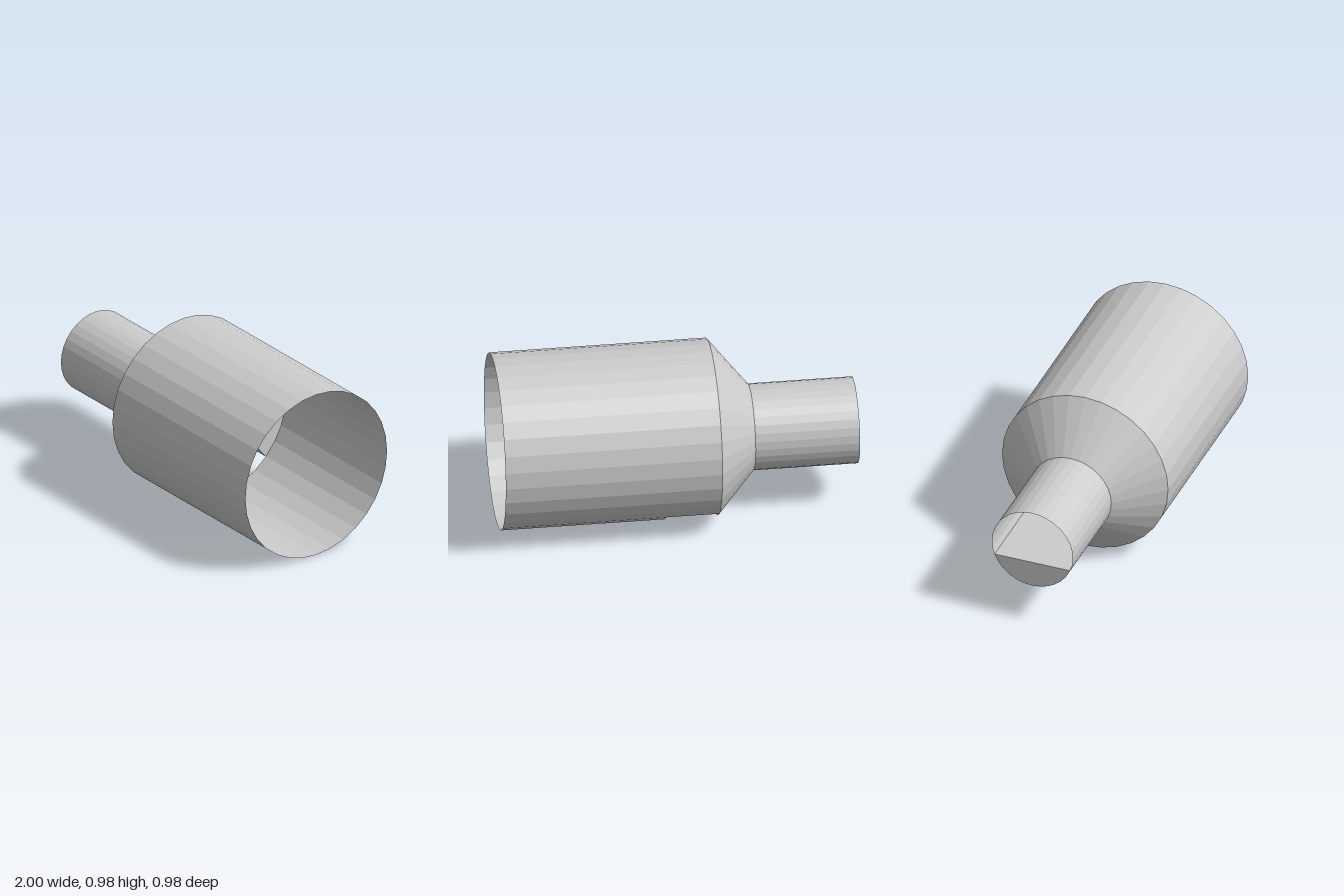
import * as THREE from 'three';

const SIDES = 32;
const LEVEL = 0.387; // height of the flat floor inside the pipe
const X = { tip: -1, neck: -0.42, shoulder: -0.205, wall: 0.09, mouth: 1 };
const SMALL = { c: 0.473, r: 0.24 };
const BIG = { c: 0.492, r: 0.492 };

const material = new THREE.MeshStandardMaterial({
  color: 0xcccccc, flatShading: true, side: THREE.DoubleSide,
});

// Point k of a ring as (z, y), counted from the bottom towards +z
function ringPoint({ c, r }, k) {
  const a = (k / SIDES) * Math.PI * 2;
  return [r * Math.sin(a), c - r * Math.cos(a)];
}

function arc(ring, from, to) {
  const pts = [];
  const step = Math.sign(to - from);
  for (let k = from; k !== to + step; k += step) pts.push(ringPoint(ring, k));
  return pts;
}

// The part of a ring below the floor level, from -z to +z
function segment(ring) {
  let k = 0;
  while (ringPoint(ring, k + 1)[1] < LEVEL) k++;
  const [z0, y0] = ringPoint(ring, k);
  const [z1, y1] = ringPoint(ring, k + 1);
  const z = z0 + ((z1 - z0) * (LEVEL - y0)) / (y1 - y0);
  return { k, z, pts: [[-z, LEVEL], ...arc(ring, -k, k), [z, LEVEL]] };
}

// Strip of faces between two (z, y) outlines standing at xa and xb
function loft(a, xa, b, xb) {
  const pos = [];
  for (let i = 0; i < a.length - 1; i++) {
    const p = [xa, a[i][1], a[i][0]], q = [xa, a[i + 1][1], a[i + 1][0]];
    const s = [xb, b[i][1], b[i][0]], t = [xb, b[i + 1][1], b[i + 1][0]];
    pos.push(...p, ...q, ...t, ...p, ...t, ...s);
  }
  const g = new THREE.BufferGeometry();
  g.setAttribute('position', new THREE.Float32BufferAttribute(pos, 3));
  g.computeVertexNormals();
  return g;
}

// Flat panel across the pipe, outlined in (z, y)
function panel(pts, x) {
  const shape = new THREE.Shape(pts.map(([z, y]) => new THREE.Vector2(z, y)));
  return new THREE.ShapeGeometry(shape).rotateY(-Math.PI / 2).translate(x, 0, 0);
}

export function createModel() {
  const group = new THREE.Group();
  const add = (name, geometry) => {
    const mesh = new THREE.Mesh(geometry, material);
    mesh.name = name;
    group.add(mesh);
  };

  // Outer shell; the body is open over five facets at the broken patch
  const smallRing = arc(SMALL, 0, SIDES);
  const bigRing = arc(BIG, 0, SIDES);
  const openRing = arc(BIG, 1, SIDES - 4);
  add('narrowPipe', loft(smallRing, X.tip, smallRing, X.neck));
  add('reducerCone', loft(smallRing, X.neck, bigRing, X.shoulder));
  add('bodyBesideBreak', loft(openRing, X.shoulder, openRing, X.wall));
  add('widePipe', loft(bigRing, X.wall, bigRing, X.mouth));

  // Jagged edge of the broken patch, at the wall and at its inner end
  const teeth = [
    [-0.21, 0.31], [-0.14, 0.25], [-0.167, 0.213], [-0.115, 0.187], [-0.128, 0.15],
    [-0.06, 0.128], [-0.068, 0.112], [0.005, 0.088], [0, 0.035], [0.096, 0.035],
  ];
  const innerTeeth = teeth.map((p) => [...p]);
  innerTeeth[2] = [-0.183, 0.187];
  innerTeeth[5] = [-0.098, 0.131];
  const start = ringPoint(BIG, -4), end = ringPoint(BIG, 1);
  add('breakSides', loft([start, ...innerTeeth, end], X.shoulder, [start, ...teeth, end], X.wall));
  add('breakEnd', panel([start, ...innerTeeth, ...arc(BIG, 1, -3)], X.shoulder));

  // Upright faces of the filled lower part
  const big = segment(BIG);
  add('narrowEndFace', panel(segment(SMALL).pts, X.tip));
  add('innerWall', panel([
    [-big.z, LEVEL], ...arc(BIG, -big.k, -4), ...teeth, ...arc(BIG, 1, big.k), [big.z, LEVEL],
  ], X.wall));

  // Level floor, widening through the cone
  const stations = [[X.tip, segment(SMALL).z]];
  for (let i = 0; i <= 6; i++) {
    const t = i / 6, mix = THREE.MathUtils.lerp;
    const ring = { c: mix(SMALL.c, BIG.c, t), r: mix(SMALL.r, BIG.r, t) };
    stations.push([mix(X.neck, X.shoulder, t), segment(ring).z]);
  }
  stations.push([X.wall, big.z]);
  const outline = [
    ...stations.map(([x, z]) => new THREE.Vector2(x, z)),
    ...stations.map(([x, z]) => new THREE.Vector2(x, -z)).reverse(),
  ];
  const floor = new THREE.ShapeGeometry(new THREE.Shape(outline));
  add('innerFloor', floor.rotateX(-Math.PI / 2).translate(0, LEVEL, 0));

  return group;
}
